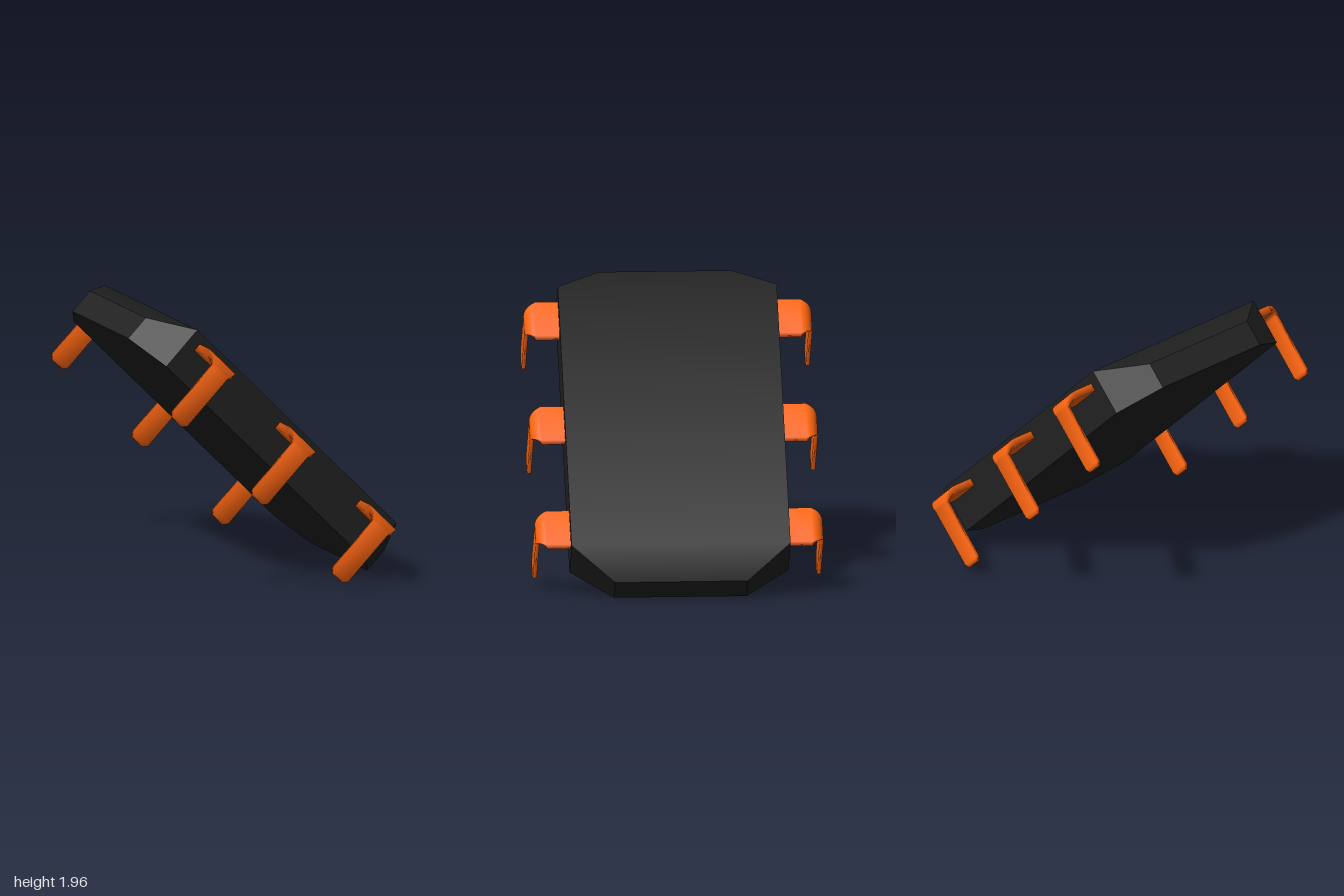
import * as THREE from 'three';
import { ConvexGeometry } from 'three/addons/geometries/ConvexGeometry.js';
import { toCreasedNormals } from 'three/addons/utils/BufferGeometryUtils.js';

const bodyMaterial = new THREE.MeshStandardMaterial({ color: 0x222222 });
const legMaterial = new THREE.MeshStandardMaterial({ color: 0xff6611 });

// Slab with cut corners, a flat top and ends that slope down to a rim
function makeBody() {
  const points = [];
  for (const sx of [-1, 1]) {
    for (const sz of [-1, 1]) {
      points.push(
        new THREE.Vector3(sx * 1.29, 0, sz * 0.46),
        new THREE.Vector3(sx * 1.29, 0.19, sz * 0.46),
        new THREE.Vector3(sx * 1.075, 0, sz * 0.76),
        new THREE.Vector3(sx * 1.075, 0.336, sz * 0.76)
      );
    }
  }
  const geometry = toCreasedNormals(new ConvexGeometry(points), THREE.MathUtils.degToRad(35));
  const mesh = new THREE.Mesh(geometry, bodyMaterial);
  mesh.name = 'body';
  return mesh;
}

// Bent strip: a wide shoulder leaves the side, curves down and narrows to a leg
function makeLegGeometry() {
  const top = 0.276, radius = 0.08, steps = 6;
  const wide = 0.14, narrow = 0.078, thick = 0.057, thin = 0.028;
  // each section: outer z and y, bend angle, half width, thickness
  const sections = [[0.7, top, 0, wide, thick]];
  for (let i = 0; i <= steps; i++) {
    const t = i / steps, a = t * Math.PI / 2;
    sections.push([
      0.92 + radius * Math.sin(a), top - radius + radius * Math.cos(a), a,
      THREE.MathUtils.lerp(wide, narrow, t), THREE.MathUtils.lerp(thick, thin, t)
    ]);
  }
  sections.push([1, -0.232, Math.PI / 2, narrow, thin], [1, -0.262, Math.PI / 2, 0.05, thin]);

  const positions = [], index = [];
  sections.forEach(([z, y, a, w, depth], s) => {
    const zi = z - depth * Math.sin(a), yi = y - depth * Math.cos(a);
    positions.push(-w, y, z, w, y, z, w, yi, zi, -w, yi, zi);
    if (s === 0) return;
    for (let k = 0; k < 4; k++) {
      const p = (s - 1) * 4 + k, q = (s - 1) * 4 + (k + 1) % 4;
      index.push(p, p + 4, q, q, p + 4, q + 4);
    }
  });
  // tip cap
  const e = (sections.length - 1) * 4;
  index.push(e, e + 2, e + 1, e, e + 3, e + 2);

  const geometry = new THREE.BufferGeometry();
  geometry.setAttribute('position', new THREE.Float32BufferAttribute(positions, 3));
  geometry.setIndex(index);
  geometry.computeVertexNormals();
  return geometry;
}

export function createModel() {
  const model = new THREE.Group();
  model.name = 'chip';

  // Everything leans 45 degrees, balanced on one end
  const tilted = new THREE.Group();
  tilted.name = 'tiltedChip';
  tilted.rotation.z = -Math.PI / 4;
  tilted.position.set(-0.067, 0.913, 0);
  model.add(tilted);
  tilted.add(makeBody());

  // Three legs on each long side
  const legGeometry = makeLegGeometry();
  for (const side of ['front', 'back']) {
    for (let i = -1; i <= 1; i++) {
      const leg = new THREE.Mesh(legGeometry, legMaterial);
      leg.name = `${side}Leg${i + 2}`;
      leg.position.x = 0.018 + i * 0.867;
      if (side === 'back') leg.rotation.y = Math.PI;
      tilted.add(leg);
    }
  }
  return model;
}
